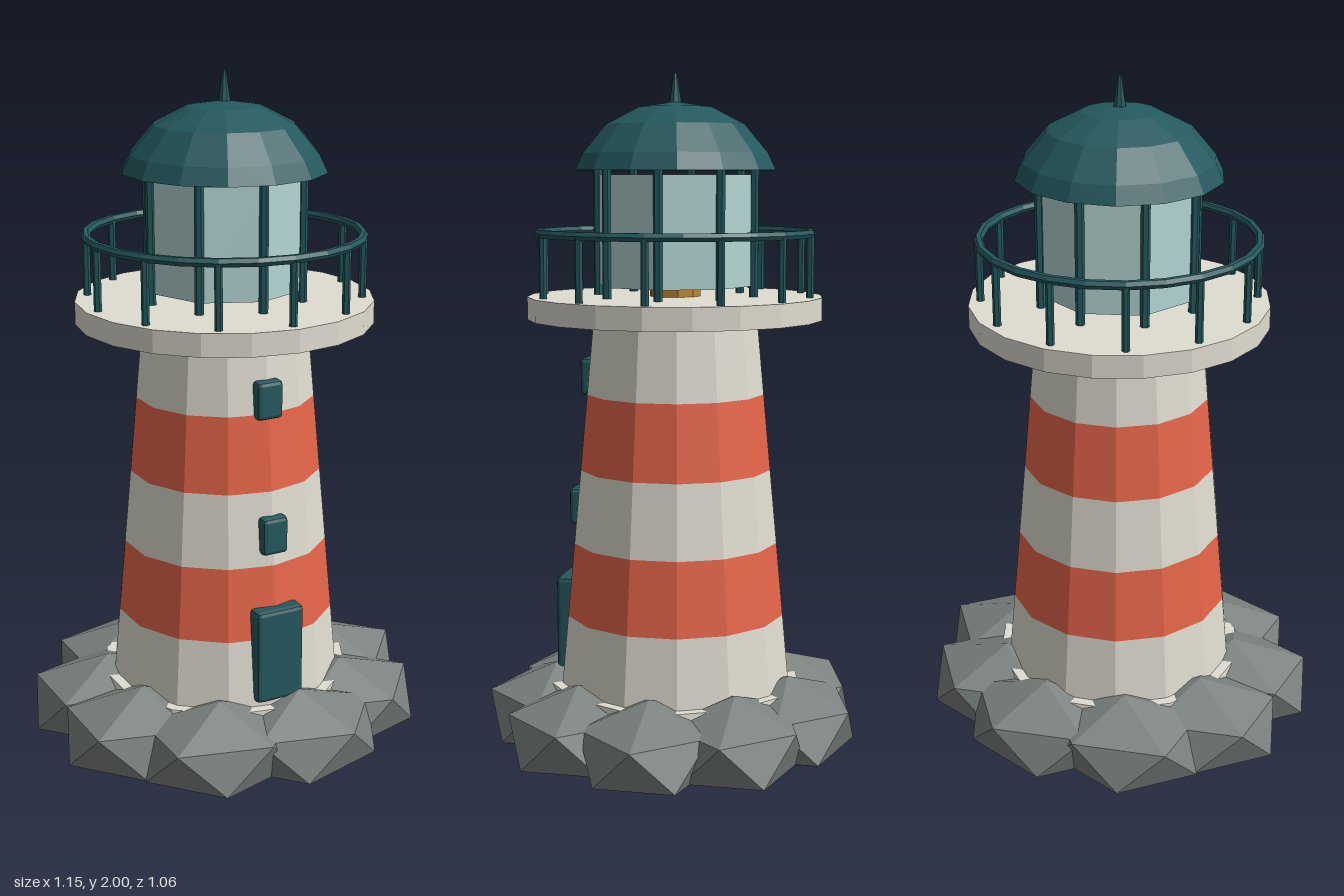
import * as THREE from 'three';
import { RoundedBoxGeometry } from 'three/addons/geometries/RoundedBoxGeometry.js';

const mat = (color, side = THREE.FrontSide) =>
  new THREE.MeshStandardMaterial({ color, side, flatShading: true });

const cream = mat(0xe0ddd1);
const red = mat(0xe8664a);
const teal = mat(0x24595e);
const tealOpen = mat(0x24595e, THREE.DoubleSide);
const stone = mat(0x7b827f);
const glass = mat(0xb4d6d5);
const brass = mat(0xb8872f);

export function createModel() {
  const model = new THREE.Group();
  model.name = 'lighthouse';
  const body = new THREE.Group();
  body.name = 'body';
  body.position.x = -0.0125; // the ring of rocks reaches further to one side
  model.add(body);

  const add = (name, geometry, material, x = 0, y = 0, z = 0) => {
    const mesh = new THREE.Mesh(geometry, material);
    mesh.name = name;
    mesh.position.set(x, y, z);
    body.add(mesh);
    return mesh;
  };
  // Upright cylinder between two heights
  const drum = (name, rTop, rBottom, y0, y1, sides, material, x = 0, z = 0, open = false) =>
    add(name, new THREE.CylinderGeometry(rTop, rBottom, y1 - y0, sides, 1, open),
      material, x, (y0 + y1) / 2, z);
  // Calls back with x, z for each of n places on a circle
  const ring = (n, radius, place) => {
    for (let i = 0; i < n; i++) {
      const a = (i / n) * Math.PI * 2;
      place(Math.cos(a) * radius, Math.sin(a) * radius, i);
    }
  };

  // Rocks: flattened icosahedra standing on a corner
  const rock = new THREE.IcosahedronGeometry(1, 0);
  rock.rotateZ(-Math.atan(2 / (1 + Math.sqrt(5))));
  rock.scale(0.262, 0.135, 0.217);
  ring(9, 0.353, (x, z, i) => add('rock' + (i + 1), rock, stone, x, 0.14, z));

  // Foundation and striped, tapering tower
  drum('foundation', 0.37, 0.38, 0.14, 0.24, 14, cream);
  const radiusAt = (y) => 0.24 + (1.305 - y) * 0.094;
  const levels = [0.2, 0.44, 0.655, 0.87, 1.09, 1.31];
  for (let i = 0; i < levels.length - 1; i++) {
    const [y0, y1] = [levels[i], levels[i + 1]];
    drum('towerBand' + (i + 1), radiusAt(y1), radiusAt(y0), y0, y1, 14, i % 2 ? red : cream,
      0, 0, true);
  }

  // Door and windows on the front
  add('door', new RoundedBoxGeometry(0.148, 0.28, 0.06, 1, 0.012), teal, 0, 0.395, 0.315);
  add('lowerWindow', new RoundedBoxGeometry(0.08, 0.11, 0.05, 1, 0.012), teal, 0, 0.745, 0.287);
  add('upperWindow', new RoundedBoxGeometry(0.08, 0.11, 0.05, 1, 0.012), teal, 0, 1.132, 0.251);

  // Gallery with railing
  drum('gallery', 0.425, 0.425, 1.305, 1.37, 20, cream);
  const rail = new THREE.TorusGeometry(0.39, 0.013, 6, 24);
  rail.rotateX(Math.PI / 2);
  add('handrail', rail, teal, 0, 1.55, 0);
  ring(12, 0.39, (x, z) => drum('railPost', 0.011, 0.011, 1.37, 1.55, 6, teal, x, z));

  // Lantern room
  drum('lamp', 0.075, 0.075, 1.37, 1.48, 10, brass);
  drum('lanternGlass', 0.225, 0.225, 1.4, 1.715, 8, glass);
  ring(8, 0.228, (x, z) => drum('mullion', 0.013, 0.013, 1.37, 1.735, 6, teal, x, z));

  // Domed roof and spike
  const profile = [[0, 1.73], [0.29, 1.727], [0.267, 1.775], [0.2, 1.855], [0.105, 1.904], [0, 1.92]];
  add('dome', new THREE.LatheGeometry(profile.map(([r, y]) => new THREE.Vector2(r, y)), 14), tealOpen);
  drum('spike', 0.005, 0.02, 1.905, 2, 8, teal);

  return model;
}
